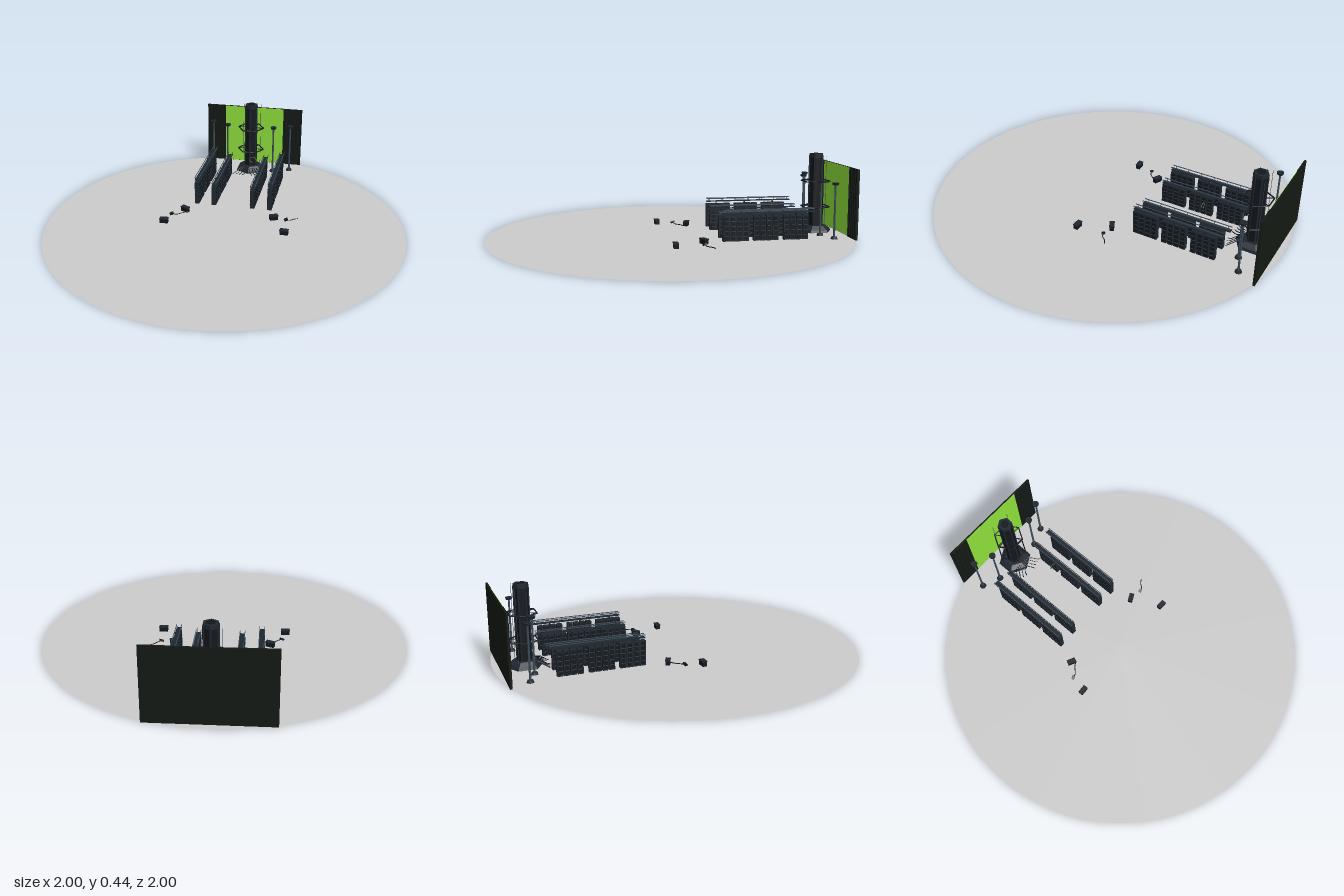
import * as THREE from 'three';

const mat = (color, extra = {}) => new THREE.MeshStandardMaterial({ color, flatShading: true, ...extra });

export function createModel() {
  const root = new THREE.Group();
  const grey = mat(0xcccccc, { side: THREE.DoubleSide });
  const black = mat(0x141a14), steel = mat(0x1f272f), dark = mat(0x12161b);
  const blue = mat(0x3c4c5a), green = mat(0x8fdf3c), olive = mat(0x8a8450);

  const add = (name, geo, material, x = 0, y = 0, z = 0, parent = root) => {
    const m = new THREE.Mesh(geo, material);
    m.name = name;
    m.position.set(x, y, z);
    parent.add(m);
    return m;
  };
  const box = (name, w, h, d, material, x, y, z, parent) =>
    add(name, new THREE.BoxGeometry(w, h, d), material, x, y, z, parent);
  const cyl = (name, rt, rb, h, n, material, x, y, z, parent) =>
    add(name, new THREE.CylinderGeometry(rt, rb, h, n), material, x, y, z, parent);
  const cable = (name, pts, r, material, parent = root) =>
    add(name, new THREE.TubeGeometry(
      new THREE.CatmullRomCurve3(pts.map(p => new THREE.Vector3(...p))), 12, r, 5), material, 0, 0, 0, parent);

  // Ground disc
  add('ground', new THREE.CircleGeometry(1, 96), grey).rotation.x = -Math.PI / 2;

  // Back wall with a bright centre screen and ribbed dark sides
  box('backWall', 0.62, 0.38, 0.008, black, 0, 0.19, -0.962);
  box('wallScreen', 0.38, 0.376, 0.004, green, 0, 0.19, -0.957);
  for (const s of [-1, 1]) {
    box('wallSidePanel', 0.12, 0.38, 0.004, black, s * 0.25, 0.19, -0.957);
    for (let i = 0; i < 5; i++)
      box('wallRib', 0.006, 0.37, 0.003, dark, s * (0.2 + i * 0.025), 0.19, -0.954);
  }

  // Hexagonal core tower
  const tower = new THREE.Group();
  tower.name = 'coreTower';
  tower.position.set(0, 0, -0.835);
  root.add(tower);
  cyl('towerFoot', 0.09, 0.096, 0.014, 6, steel, 0, 0.007, 0, tower);
  cyl('towerPlinth', 0.06, 0.088, 0.02, 6, steel, 0, 0.024, 0, tower);
  cyl('towerShaft', 0.037, 0.041, 0.39, 6, dark, 0, 0.225, 0, tower);
  cyl('towerCap', 0.04, 0.04, 0.022, 6, steel, 0, 0.429, 0, tower);
  cyl('towerCapInset', 0.024, 0.024, 0.003, 6, dark, 0, 0.44, 0, tower);
  for (let i = 0; i < 6; i++) {
    const a = (i * Math.PI) / 3;
    const rib = box('towerRib', 0.008, 0.4, 0.008, steel, Math.sin(a) * 0.037, 0.23, Math.cos(a) * 0.037, tower);
    rib.rotation.y = a;
  }
  for (const y of [0.14, 0.285]) {
    add('towerRing', new THREE.TorusGeometry(0.081, 0.004, 5, 6), dark, 0, y, 0, tower).rotation.x = Math.PI / 2;
    for (let i = 0; i < 3; i++)
      box('ringSpoke', 0.15, 0.003, 0.003, dark, 0, y, 0, tower).rotation.y = (i * Math.PI) / 3;
  }
  for (const s of [-1, 1]) {
    cyl('towerRod', 0.0012, 0.0012, 0.4, 5, blue, s * 0.055, 0.23, -0.04, tower);
    // Floor cables spreading from the plinth
    for (let i = 0; i < 4; i++) {
      const x = 0.012 + i * 0.022;
      cable('floorCable', [
        [s * x * 0.6, 0.028, 0.06], [s * x, 0.012, 0.095],
        [s * (x + 0.012), 0.004, 0.11], [s * (x + 0.02), 0.004, 0.13 - i * 0.006],
      ], 0.0025, dark, tower);
    }
  }

  // Standing lamp posts
  for (const s of [-1, 1])
    for (const [x, z] of [[0.25, -0.857], [0.148, -0.815]]) {
      const post = new THREE.Group();
      post.name = 'post';
      post.position.set(s * x, 0, z);
      root.add(post);
      cyl('postBase', 0.015, 0.019, 0.012, 12, steel, 0, 0.006, 0, post);
      cyl('postPole', 0.005, 0.006, 0.29, 8, blue, 0, 0.15, 0, post);
      cyl('postHead', 0.019, 0.016, 0.012, 12, steel, 0, 0.299, 0, post);
    }

  // Rows of cabinets, each with a cable tray above
  for (const s of [-1, 1])
    for (const [x, h, trayY] of [[0.217, 0.135, 0.149], [0.115, 0.113, 0.122]]) {
      const row = new THREE.Group();
      row.name = 'cabinetRow';
      row.position.x = s * x;
      root.add(row);
      [-0.25, -0.415, -0.58].forEach((z0, g) => {
        const gap = g === 0 ? 0.001 : 0.005;
        for (let i = 0; i < 4; i++) {
          const d = 0.035, z = z0 - d * (i + 0.5);
          box('cabinet', 0.026, h, d - gap, steel, 0, h / 2, z, row);
          for (const f of [-1, 1]) {
            box('cabinetDoor', 0.002, h * 0.88, d * 0.6, dark, f * 0.0135, h / 2, z, row);
            for (let k = 1; k < 5; k++)
              box('cabinetSlat', 0.002, 0.003, d * 0.55, blue, f * 0.0146, h * k / 5, z, row);
          }
        }
      });
      box('trayFloor', 0.026, 0.004, 0.5, steel, 0, trayY, -0.502, row);
      for (const f of [-1, 1])
        box('trayRail', 0.003, 0.004, 0.5, blue, f * 0.013, trayY + 0.016, -0.502, row);
      for (let i = 0; i < 7; i++)
        for (const f of [-1, 1])
          box('trayPost', 0.002, 0.016, 0.002, steel, f * 0.013, trayY + 0.008, -0.27 - i * 0.077, row);
      for (const z of [-0.31, -0.48, -0.65])
        box('trayBracket', 0.006, trayY - h, 0.006, dark, 0, (trayY + h) / 2, z, row);
    }

  // Small hanging cable loop between the rows
  add('cableLoop', new THREE.TorusGeometry(0.018, 0.0015, 5, 20, Math.PI * 1.5), olive, 0.06, 0.176, -0.566);

  // Crates on the floor
  for (const s of [-1, 1])
    for (const [x, z, turn] of [[0.26, -0.14, 0.45], [0.342, 0.023, -0.05]]) {
      const crate = new THREE.Group();
      crate.name = 'crate';
      crate.position.set(s * x, 0, z);
      crate.rotation.y = s * turn;
      root.add(crate);
      box('crateBody', 0.046, 0.024, 0.024, dark, 0, 0.012, 0, crate);
      box('crateLid', 0.049, 0.006, 0.027, steel, 0, 0.026, 0, crate);
    }

  // Dropped tools with trailing leads
  for (const [x, z, dx, dz] of [[-0.323, -0.07, 0.085, -0.055], [0.332, -0.13, 0.063, -0.045]]) {
    const head = box('toolHead', 0.022, 0.01, 0.016, dark, x, 0.012, z);
    head.rotation.set(0.2, 0.4, 0.3);
    cable('toolLead', [
      [x, 0.012, z], [x + dx * 0.3, 0.006, z + dz * 0.15],
      [x + dx * 0.65, 0.004, z + dz * 0.7], [x + dx, 0.003, z + dz],
    ], 0.0025, dark);
  }
  return root;
}
